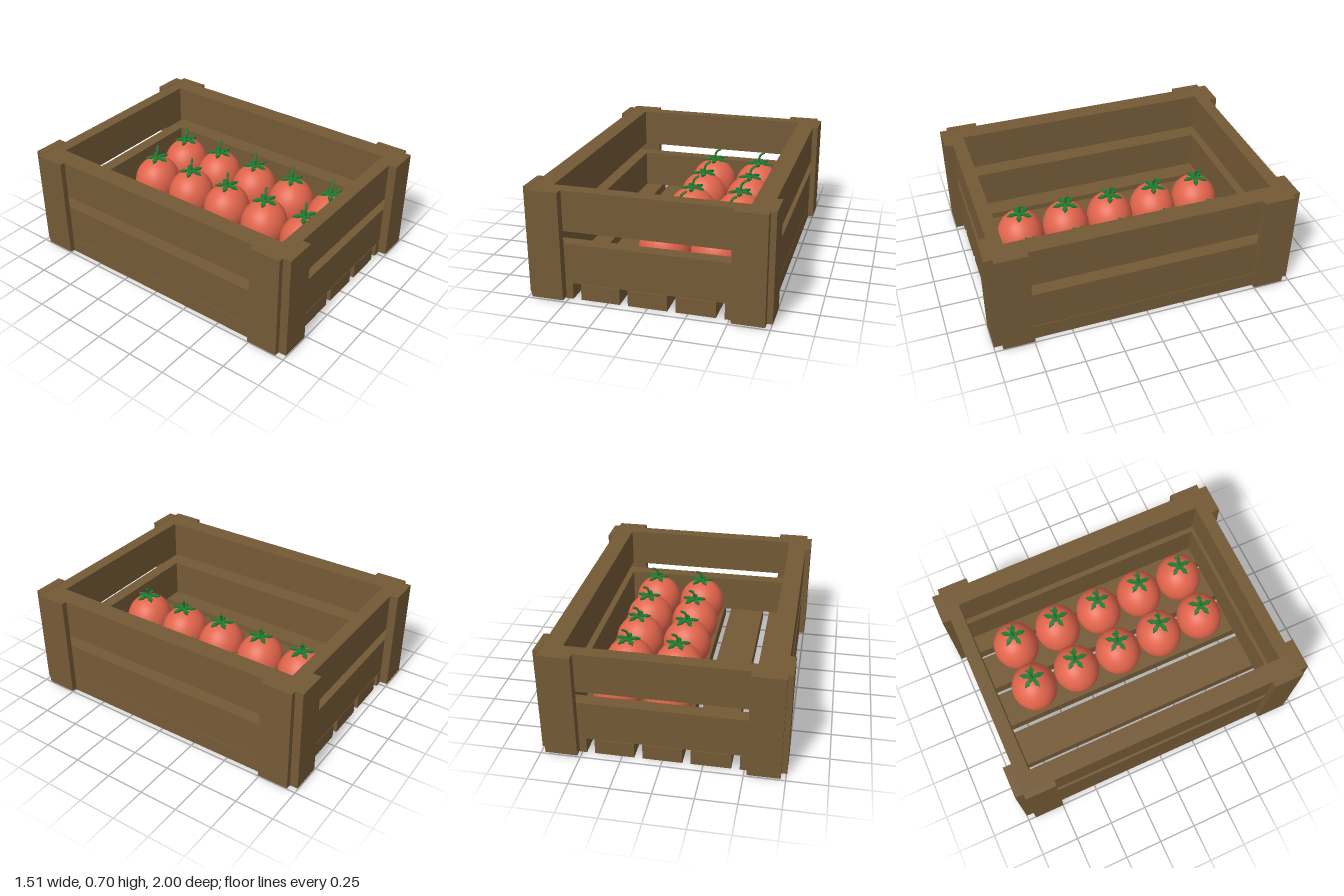
import * as THREE from 'three';

const wood = new THREE.MeshStandardMaterial({ name: 'brown wood', color: 0x745a36 });
const red = new THREE.MeshStandardMaterial({ name: 'tomato red', color: 0xe0644b });
const green = new THREE.MeshStandardMaterial({ name: 'leaf green', color: 0x1f7a30 });

// Box given by its lower and upper corners
function board(name, x0, x1, y0, y1, z0, z1) {
  const mesh = new THREE.Mesh(new THREE.BoxGeometry(x1 - x0, y1 - y0, z1 - z0), wood);
  mesh.position.set((x0 + x1) / 2, (y0 + y1) / 2, (z0 + z1) / 2);
  mesh.name = name;
  return mesh;
}

function createCrate() {
  const crate = new THREE.Group();
  crate.name = 'crate';

  // Five floor slats
  for (let i = -2; i <= 2; i++) {
    const x = i * 0.2975;
    crate.add(board('floorSlat', x - 0.123, x + 0.123, 0, 0.1, -0.945, 0.945));
  }

  // Two rows of wall boards with a gap between them
  for (const [y0, y1] of [[0.105, 0.363], [0.443, 0.7]]) {
    for (const s of [-1, 1]) {
      const x = s * 0.6575, z = s * 0.9025;
      crate.add(board('sideBoard', x - 0.0605, x + 0.0605, y0, y1, -0.945, 0.945));
      crate.add(board('endBoard', -0.597, 0.597, y0, y1, z - 0.0425, z + 0.0425));
    }
  }

  // Corner battens on both faces of each corner
  for (const sx of [-1, 1]) {
    for (const sz of [-1, 1]) {
      const x = sx * 0.619, z = sz * 0.9725;
      crate.add(board('endBatten', x - 0.101, x + 0.101, 0.01, 0.702, z - 0.0275, z + 0.0275));
      const bx = sx * 0.7365, bz = sz * 0.847;
      crate.add(board('sideBatten', bx - 0.0185, bx + 0.0185, 0.01, 0.702, bz - 0.101, bz + 0.101));
    }
  }
  return crate;
}

// Five-pointed leaf crown with narrow necks and pointed tips
function calyxGeometry() {
  const shape = new THREE.Shape();
  const outline = [[-0.62, 0.024], [-0.3, 0.036], [-0.3, 0.056], [0, 0.084], [0.3, 0.056], [0.3, 0.036]];
  for (let i = 0; i < 5; i++) {
    const dir = -Math.PI / 2 + i * Math.PI * 2 / 5;
    outline.forEach(([a, r], k) => {
      const x = r * Math.cos(dir + a), y = r * Math.sin(dir + a);
      if (i + k === 0) shape.moveTo(x, y); else shape.lineTo(x, y);
    });
  }
  shape.closePath();
  const geo = new THREE.ExtrudeGeometry(shape, { depth: 0.012, bevelEnabled: false });
  geo.rotateX(-Math.PI / 2);
  // Droop the tips a little
  const p = geo.attributes.position;
  for (let i = 0; i < p.count; i++) {
    const r = Math.hypot(p.getX(i), p.getZ(i));
    p.setY(i, p.getY(i) - 1.1 * r * r);
  }
  geo.computeVertexNormals();
  return geo;
}

export function createModel() {
  const model = new THREE.Group();
  model.name = 'tomatoCrate';
  model.add(createCrate());

  const fruitGeo = new THREE.SphereGeometry(1, 32, 20);
  fruitGeo.scale(0.163, 0.17, 0.155);
  const leafGeo = calyxGeometry();
  const stemGeo = new THREE.TubeGeometry(new THREE.CatmullRomCurve3([
    new THREE.Vector3(0, 0, 0),
    new THREE.Vector3(0.002, 0.035, -0.001),
    new THREE.Vector3(0.012, 0.062, -0.006),
    new THREE.Vector3(0.034, 0.076, -0.018),
  ]), 8, 0.008, 8);
  const tipGeo = new THREE.SphereGeometry(0.008, 8, 6);

  // Two rows of five tomatoes
  for (const x of [0.02, 0.35]) {
    for (let i = 0; i < 5; i++) {
      const tomato = new THREE.Group();
      tomato.name = 'tomato';
      const add = (name, geo, mat, px, py, pz) => {
        const mesh = new THREE.Mesh(geo, mat);
        mesh.name = name;
        mesh.position.set(px, py, pz);
        tomato.add(mesh);
      };
      add('fruit', fruitGeo, red, 0, 0, 0);
      add('leafCrown', leafGeo, green, 0.008, 0.172, 0);
      add('stem', stemGeo, green, 0.004, 0.172, 0);
      add('stemTip', tipGeo, green, 0.038, 0.248, -0.018);
      tomato.position.set(x, 0.27, 0.015 + (i - 2) * 0.312);
      model.add(tomato);
    }
  }
  return model;
}
